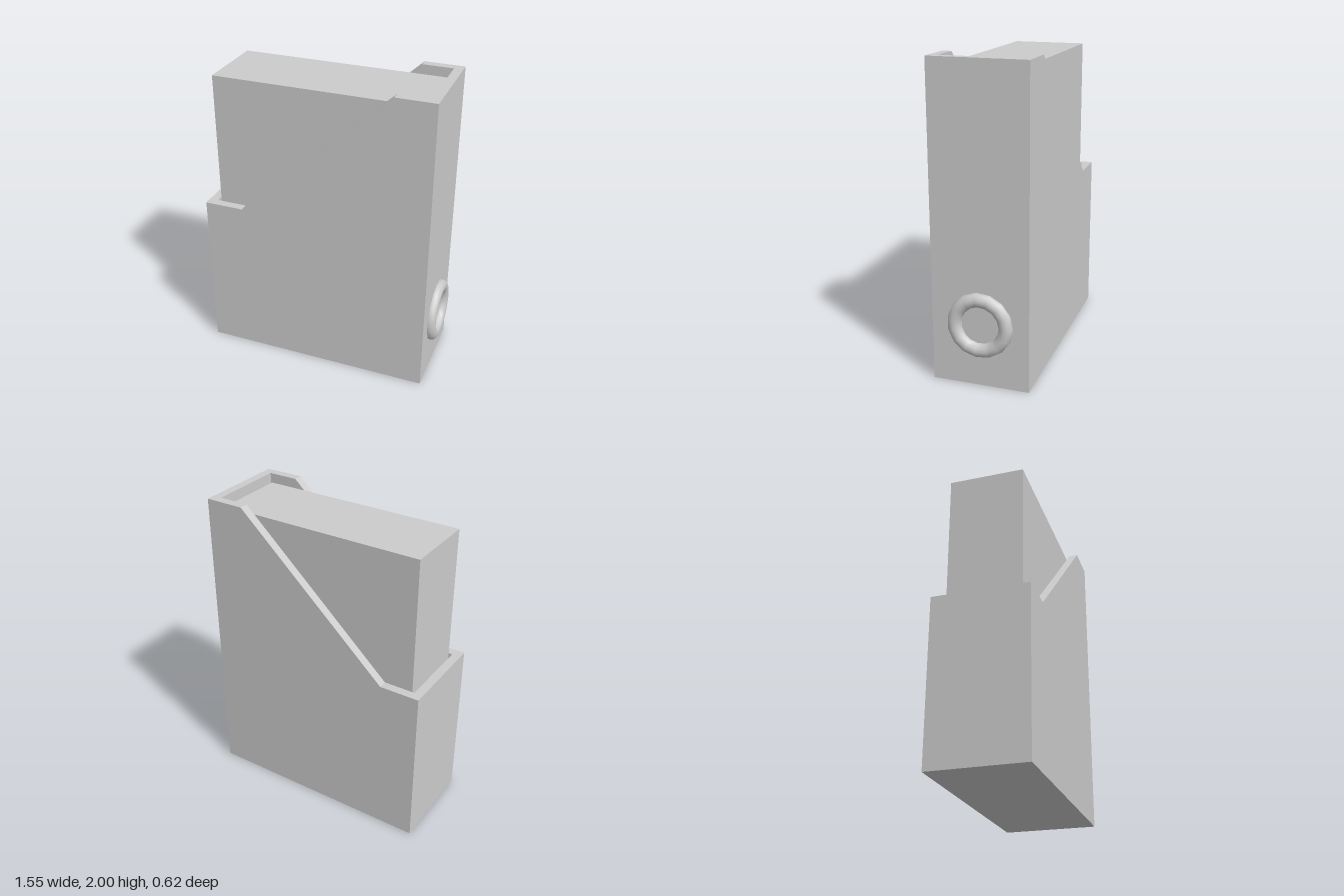
import * as THREE from 'three';

const grey = new THREE.MeshStandardMaterial({ color: 0xcccccc });

// Outer extents of the holder and its wall thickness
const X0 = -0.78, X1 = 0.73, Z = 0.31, T = 0.057;
const LOW = 1.075, HIGH = 2;

function add(group, name, geometry, x = 0, y = 0, z = 0) {
  const mesh = new THREE.Mesh(geometry, grey);
  mesh.name = name;
  mesh.position.set(x, y, z);
  group.add(mesh);
  return mesh;
}

// Box given by its minimum and maximum corners
function addBox(group, name, [ax, ay, az], [bx, by, bz]) {
  return add(group, name, new THREE.BoxGeometry(bx - ax, by - ay, bz - az),
    (ax + bx) / 2, (ay + by) / 2, (az + bz) / 2);
}

export function createModel() {
  const model = new THREE.Group();
  model.name = 'fileHolder';

  // Side walls with the sloping cut
  const profile = new THREE.Shape([
    [X0, 0], [X1, 0], [X1, HIGH], [0.475, HIGH], [-0.52, LOW], [X0, LOW],
  ].map(([x, y]) => new THREE.Vector2(x, y)));
  const wall = new THREE.ExtrudeGeometry(profile, { depth: T, bevelEnabled: false });
  add(model, 'frontSideWall', wall, 0, 0, Z - T);
  add(model, 'backSideWall', wall, 0, 0, -Z);

  // End walls and floor between the sides
  const zi = Z - T;
  addBox(model, 'lowEndWall', [X0, 0, -zi], [X0 + T, LOW, zi]);
  addBox(model, 'tallEndWall', [X1 - T, 0, -zi], [X1, HIGH, zi]);
  addBox(model, 'floor', [X0 + T, 0, -zi], [X1 - T, T, zi]);

  // Block of papers standing inside with a small gap all round
  addBox(model, 'papers', [-0.703, T, -0.241], [0.655, 1.942, 0.241]);

  // Pull ring half sunk into the tall end
  const ring = add(model, 'pullRing', new THREE.TorusGeometry(0.165, 0.045, 12, 15), X1, 0.4, 0);
  ring.rotation.y = Math.PI / 2;

  return model;
}
